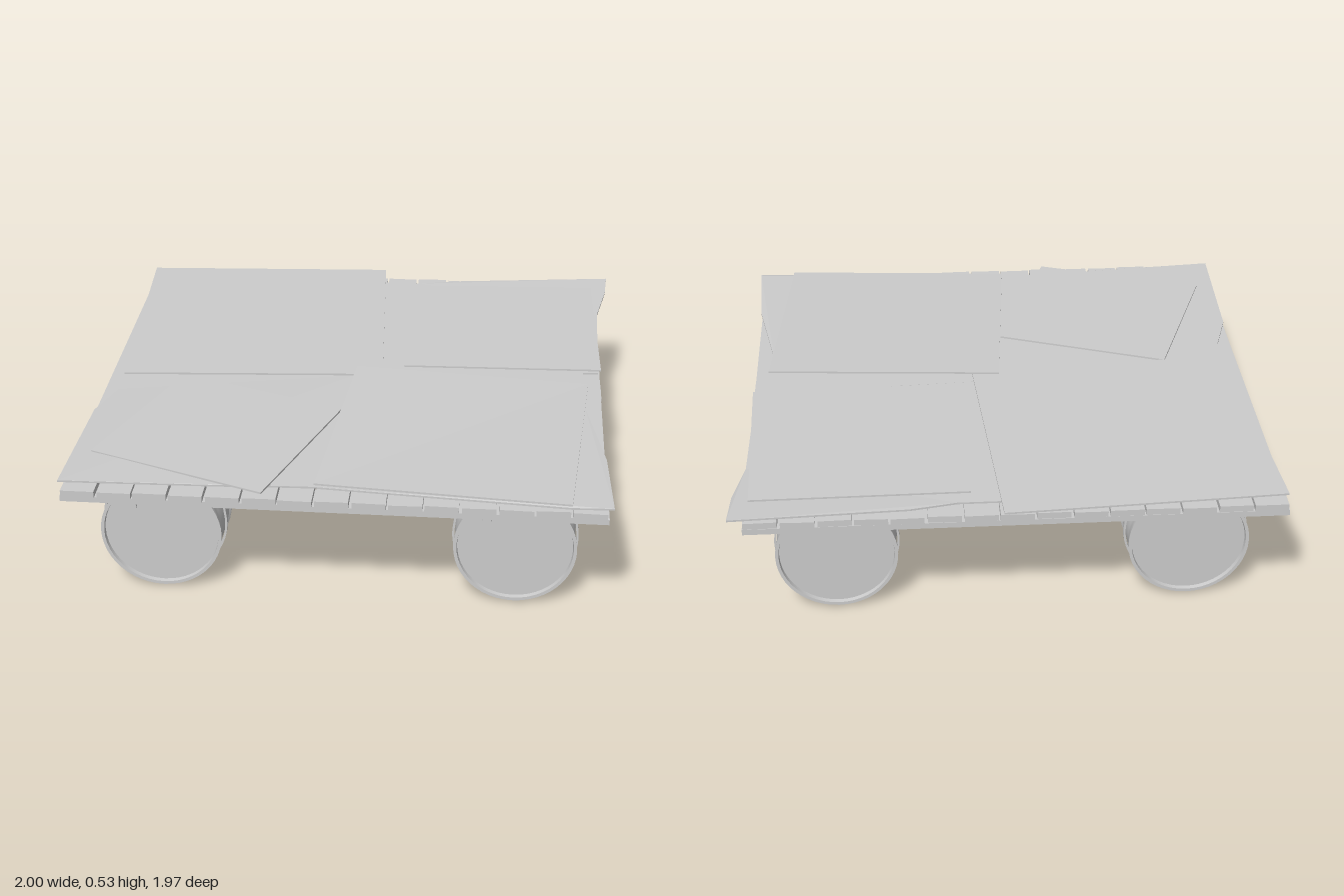
import * as THREE from 'three';
import { toCreasedNormals } from 'three/addons/utils/BufferGeometryUtils.js';

const grey = new THREE.MeshStandardMaterial({ color: 0xcccccc });
grey.name = 'plain grey';

function mesh(name, geometry) {
  const m = new THREE.Mesh(geometry, grey);
  m.name = name;
  return m;
}

// Thin slab whose outline corners [x, topY, z] run clockwise seen from above
function sheet(name, corners, thickness = 0.007) {
  const n = corners.length, pos = [];
  const top = corners.map(c => new THREE.Vector3(...c));
  const low = top.map(v => v.clone().setY(v.y - thickness));
  const tri = (...vs) => vs.forEach(v => pos.push(v.x, v.y, v.z));
  const outline = top.map(v => new THREE.Vector2(v.x, -v.z));
  for (const [a, b, c] of THREE.ShapeUtils.triangulateShape(outline, [])) {
    const up = (outline[b].x - outline[a].x) * (outline[c].y - outline[a].y)
             - (outline[b].y - outline[a].y) * (outline[c].x - outline[a].x) > 0;
    const [p, q] = up ? [b, c] : [c, b];
    tri(top[a], top[p], top[q]);
    tri(low[a], low[q], low[p]);
  }
  for (let i = 0; i < n; i++) {
    const j = (i + 1) % n;
    tri(top[i], top[j], low[j]);
    tri(top[i], low[j], low[i]);
  }
  const g = new THREE.BufferGeometry();
  g.setAttribute('position', new THREE.Float32BufferAttribute(pos, 3));
  g.computeVertexNormals();
  return mesh(name, g);
}

// Drum lying along +z: rounded inner end at 0, rimmed outer end at 0.68
function barrelGeometry() {
  const hoop = z => [[0.221, z - 0.014], [0.228, z - 0.006], [0.228, z + 0.006], [0.221, z + 0.014]];
  const profile = [
    [0, 0], [0.17, 0], [0.188, 0.004], [0.198, 0.014], [0.205, 0.032], [0.213, 0.065], [0.219, 0.1],
    ...hoop(0.226), ...hoop(0.456),
    [0.221, 0.56], [0.217, 0.62], [0.217, 0.645], [0.223, 0.66], [0.224, 0.68],
    [0.212, 0.68], [0.21, 0.664], [0, 0.664],
  ].map(p => new THREE.Vector2(...p));
  const g = new THREE.LatheGeometry(profile, 48);
  g.rotateX(Math.PI / 2);
  return toCreasedNormals(g, 0.6);
}

// U-shaped band hugging the drum and rising to the deck
function strapGeometry() {
  const shape = new THREE.Shape();
  const side = (r, topX, reverse) => {
    const pts = [new THREE.Vector2(-topX, 0.225)];
    for (let i = 0; i <= 36; i++) {
      const a = Math.PI * (0.98 + 1.04 * i / 36);
      pts.push(new THREE.Vector2(Math.cos(a) * r, Math.sin(a) * r));
    }
    pts.push(new THREE.Vector2(topX, 0.225));
    return reverse ? pts.reverse() : pts;
  };
  shape.setFromPoints([...side(0.231, 0.206), ...side(0.223, 0.198, true)]);
  const g = new THREE.ExtrudeGeometry(shape, { depth: 0.016, bevelEnabled: false });
  g.translate(0, 0, -0.008);
  return toCreasedNormals(g, 0.5);
}

export function createModel() {
  const raft = new THREE.Group();
  raft.name = 'barrelRaft';

  // Four drums, outer ends facing front and back
  const drumGeo = barrelGeometry(), strapGeo = strapGeometry();
  const bungGeo = new THREE.CylinderGeometry(0.018, 0.018, 0.014, 16).rotateX(Math.PI / 2);
  for (const x of [-0.665, 0.63]) {
    for (const front of [true, false]) {
      const barrel = new THREE.Group();
      barrel.name = front ? 'frontBarrel' : 'backBarrel';
      barrel.add(mesh('drum', drumGeo));
      const bung = mesh('bung', bungGeo);
      bung.position.set(-0.105, 0.105, 0.669);
      barrel.add(bung);
      for (const z of [0.08, 0.58]) {
        const strap = mesh('strap', strapGeo);
        strap.position.z = z;
        barrel.add(strap);
      }
      barrel.position.set(x, 0.236, front ? 0.14 : -0.12);
      if (!front) barrel.rotation.y = Math.PI;
      raft.add(barrel);
    }
  }

  // Cross beams under the deck
  for (const z of [0.915, 0.012, -0.9]) {
    const beam = mesh('crossBeam', new THREE.BoxGeometry(1.94, 0.022, 0.12));
    beam.position.set(-0.02, 0.459, z);
    raft.add(beam);
  }

  // Deck planks, slightly uneven
  const count = 15, pitch = 1.94 / count;
  const plankGeo = new THREE.BoxGeometry(pitch - 0.009, 0.024, 1.94);
  for (let i = 0; i < count; i++) {
    const plank = mesh('deckPlank', plankGeo);
    plank.position.set(-0.99 + pitch * (i + 0.5), 0.482, 0.01);
    plank.rotation.set(0.002 * Math.sin(i * 2.3), 0.002 * Math.sin(i * 1.7), 0.03 * Math.sin(i * 3.1));
    raft.add(plank);
  }

  // Lower, bent cover sheets
  raft.add(
    sheet('lowerSheetBackRight', [[0.03, 0.506, -0.89], [0.19, 0.506, -0.89], [0.36, 0.508, -0.925],
      [1.0, 0.522, -0.975], [0.99, 0.52, -0.83], [0.95, 0.51, -0.62], [0.94, 0.508, -0.08], [0.03, 0.506, 0]]),
    sheet('lowerSheetFrontRight', [[-0.05, 0.506, -0.02], [0.88, 0.509, -0.07], [0.88, 0.507, 0.22],
      [0.95, 0.507, 0.62], [0.965, 0.512, 0.97], [0.82, 0.508, 0.97], [-0.08, 0.506, 0.9]]),
    sheet('lowerSheetFrontLeft', [[-0.93, 0.51, 0.05], [-0.02, 0.507, 0.02], [-0.08, 0.507, 0.9],
      [-0.24, 0.507, 0.905], [-0.45, 0.509, 0.92], [-1.0, 0.518, 0.95], [-0.985, 0.512, 0.4], [-0.93, 0.51, 0.22]]),
  );

  // Upper loose sheets
  raft.add(
    sheet('tiltedSheet', [[-0.69, 0.516, 0.086], [-0.045, 0.517, 0.325], [-0.27, 0.516, 0.97], [-0.925, 0.521, 0.73]]),
    sheet('upperSheetBackLeft', [[-0.99, 0.521, -0.93], [0.03, 0.522, -0.99], [0.09, 0.522, 0.03], [-0.93, 0.519, 0.096]]),
    sheet('upperSheetBackRight', [[0.14, 0.52, -0.84], [0.93, 0.528, -0.86], [0.95, 0.521, -0.08], [0.17, 0.519, -0.06]]),
    sheet('upperSheetFrontRight', [[-0.015, 0.535, -0.01], [0.895, 0.531, 0.064], [0.82, 0.521, 0.97], [-0.09, 0.521, 0.9]]),
  );

  return raft;
}
